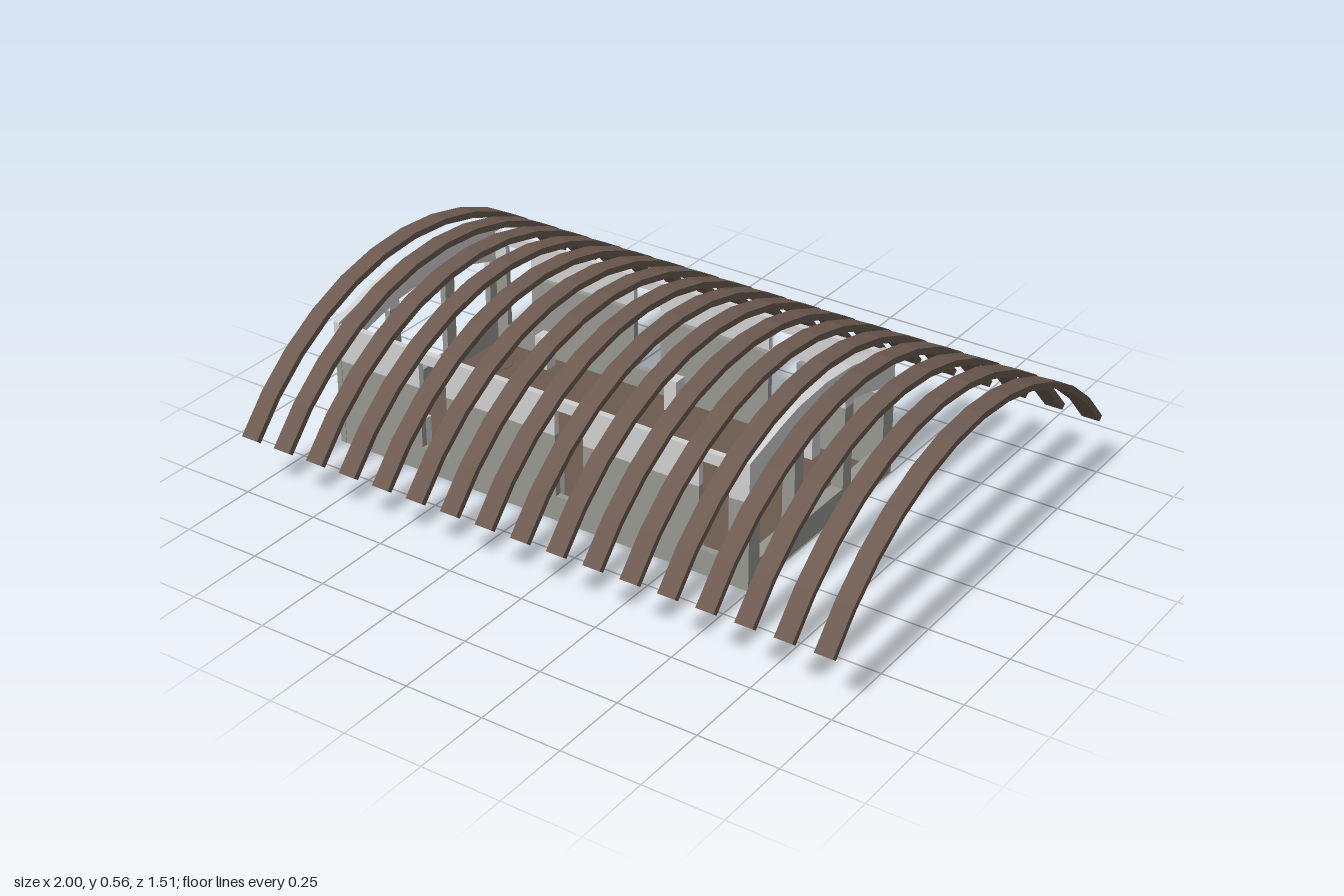
import * as THREE from 'three';

const mat = (name, color) => {
  const m = new THREE.MeshStandardMaterial({ color });
  m.name = name;
  return m;
};

export function createModel() {
  const timber = mat('brown timber', 0x6c5a50);
  const stone = mat('grey wall', 0x969790);
  const pale = mat('pale trim', 0xd0d0d0);
  const model = new THREE.Group();

  const add = (name, geometry, material, x = 0, y = 0, z = 0) => {
    const mesh = new THREE.Mesh(geometry, material);
    mesh.name = name;
    mesh.position.set(x, y, z);
    model.add(mesh);
    return mesh;
  };
  const slab = (points, depth) => new THREE.ExtrudeGeometry(
    new THREE.Shape(points.map(([u, v]) => new THREE.Vector2(u, v))),
    { depth, bevelEnabled: false });
  // cross-section drawn in (z, y), running from x = 0 towards -x
  const crossSlab = (points, depth) => slab(points, depth).rotateY(-Math.PI / 2);
  const mirrored = (half) => [...half, ...half.slice().reverse().map(([u, v]) => [-u, v])];

  const X0 = -0.96, X1 = 0.5, IN0 = -0.94, IN1 = 0.46, MIDZ = -0.0125;
  const BASE = 0.0035, SILL = 0.085;

  // arched roof ribs
  const R = 0.963, CY = -0.408, END = 0.9005, N = 12;
  const arc = (r) => Array.from({ length: N + 1 }, (_, i) => {
    const a = -END + (2 * END * i) / N;
    return [r * Math.sin(a), CY + r * Math.cos(a)];
  });
  const ribGeometry = crossSlab([...arc(R), ...arc(R - 0.02).reverse()], 0.057);
  for (let i = 0; i < 17; i++) {
    add('roofRib', ribGeometry, timber, -0.9715 + i * 0.12144 + 0.0285);
  }

  // floor slab
  add('floor', new THREE.BoxGeometry(X1 - X0 - 0.004, 0.017, 0.77), timber,
    (X0 + X1) / 2, 0.0115, MIDZ);

  // end walls: posts and pillars under an arched beam
  const endWall = mirrored([
    [0.387, BASE], [0.387, 0.288], [0.332, 0.288], [0.332, SILL], [0.155, SILL],
    [0.155, 0.35], [0.11, 0.35], [0.11, SILL],
  ]);
  const archBeam = mirrored([[0, 0.485], [0.14, 0.475], [0.23, 0.455], [0.387, 0.412],
    [0.387, 0.288], [0.332, 0.288], [0.332, 0.315], [0.24, 0.343], [0.155, 0.363],
    [0.155, 0.35], [0.11, 0.35], [0.11, 0.372], [0.02, 0.381]]);
  for (const [x, t, side] of [[IN0, IN0 - X0, 'right'], [X1, X1 - IN1, 'left']]) {
    add(side + 'EndWall', crossSlab(endWall, t), stone, x, 0, MIDZ);
    add(side + 'ArchBeam', crossSlab(archBeam, t), pale, x, 0, MIDZ);
  }

  // long walls with tall window notches, and the pale band above
  const sideWall = (side, z, centres, wallTop) => {
    const wall = [[IN0, BASE], [IN1, BASE], [IN1, wallTop]];
    const band = [[IN0, 0.405], [IN1, 0.405], [IN1, wallTop + (z < 0 ? 0.012 : 0)]];
    const bandBase = band[2][1];
    for (const c of [...centres].reverse()) {
      const r = c + 0.049, l = c - 0.049;
      wall.push([r, wallTop], [r, SILL], [l, SILL], [l, wallTop]);
      band.push([r, bandBase], [r, 0.37], [l, 0.37], [l, bandBase]);
    }
    wall.push([IN0, wallTop]);
    band.push([IN0, bandBase]);
    add(side + 'Wall', slab(wall, 0.02), stone, 0, 0, z);
    add(side + 'WallBand', slab(band, 0.02), pale, 0, 0, z);
  };
  const frontX = [-0.595, -0.107, 0.383];
  const backX = [-0.85, -0.36, 0.13];
  sideWall('front', 0.353, frontX, 0.285);
  sideWall('back', -0.398, backX, 0.283);

  // small pale blocks along both long walls
  const block = new THREE.BoxGeometry(0.045, 0.115, 0.045);
  for (const x of [-0.715, -0.225, 0.262]) {
    add('frontBlock', block, pale, x, 0.0725, 0.293);
    add('backBlock', block, pale, x, 0.0725, -0.327);
  }

  // round floor plugs in line with the windows, one of them pale
  const plug = new THREE.CylinderGeometry(0.048, 0.048, 0.022, 24);
  frontX.forEach((x, i) => add('floorPlug', plug, i === 1 ? pale : timber, x, 0.011, 0.227));
  backX.forEach((x) => add('floorPlug', plug, timber, x, 0.011, -0.255));

  return model;
}
